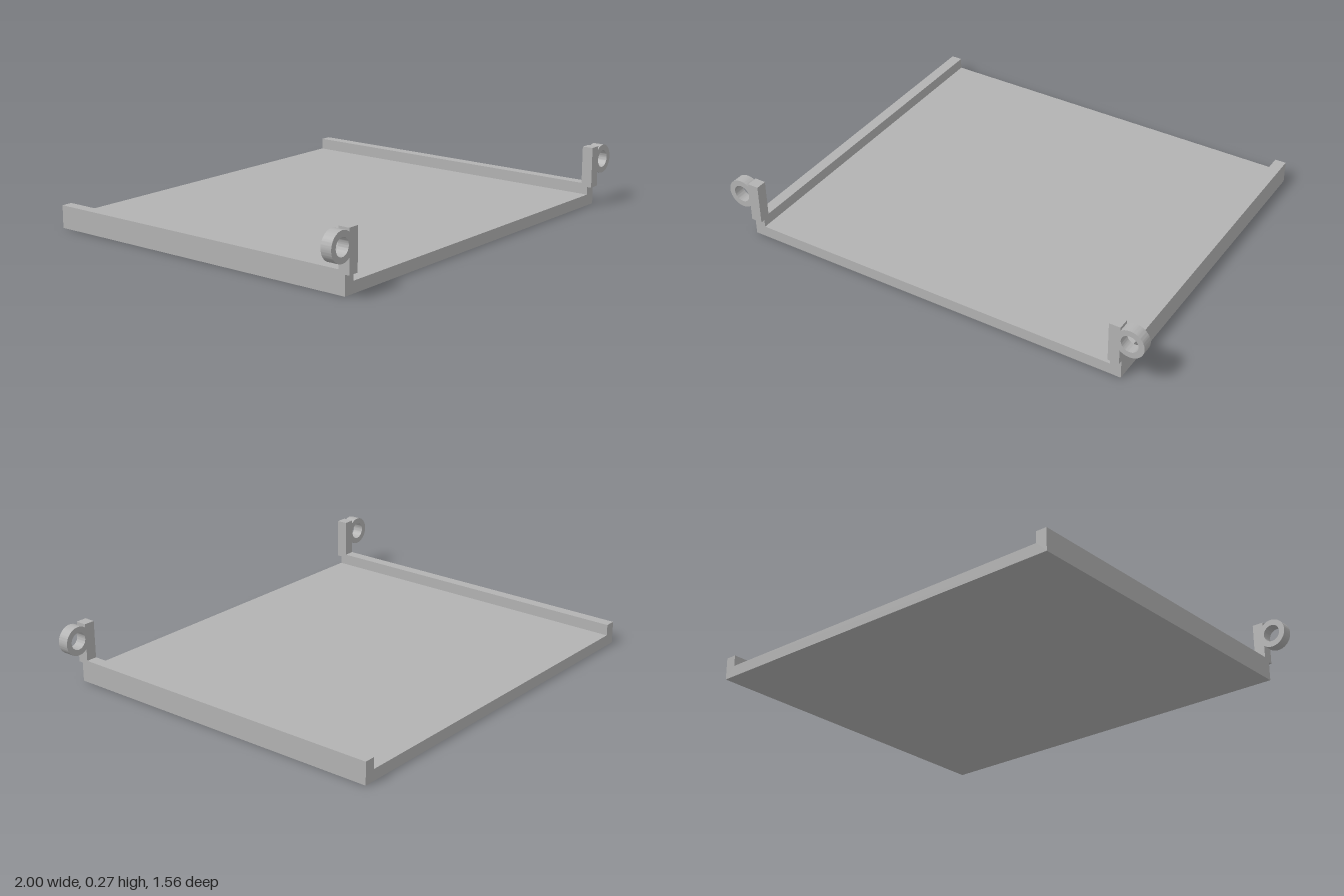
import * as THREE from 'three';
import { toCreasedNormals } from 'three/addons/utils/BufferGeometryUtils.js';

export function createModel() {
  const model = new THREE.Group();
  model.name = 'hingedTray';
  const grey = new THREE.MeshStandardMaterial({ color: 0xb2b2b2 });
  grey.name = 'grey';

  const outer = 0.895, inner = 0.845; // outside and inside faces of the side rails

  // Tray: flat floor with a low rail along each side, open at both ends
  const profile = new THREE.Shape([
    [-outer, 0], [outer, 0], [outer, 0.1], [inner, 0.1],
    [inner, 0.05], [-inner, 0.05], [-inner, 0.1], [-outer, 0.1],
  ].map(([x, y]) => new THREE.Vector2(x, y)));
  const trayGeometry = new THREE.ExtrudeGeometry(profile, { depth: 1.54, bevelEnabled: false });
  const tray = new THREE.Mesh(trayGeometry, grey);
  tray.name = 'tray';
  tray.position.z = -0.78;
  model.add(tray);

  // Lug: upright post carrying a ring on its outer side
  const ringX = 0.936, ringY = 0.203, ringR = 0.064, boreR = 0.038;
  const meet = Math.acos((outer - ringX) / ringR); // angle where ring meets post
  const lugShape = new THREE.Shape();
  lugShape.moveTo(inner, 0.085);
  lugShape.lineTo(outer, 0.085);
  lugShape.absarc(ringX, ringY, ringR, -meet, meet, false);
  lugShape.lineTo(outer, 0.267);
  lugShape.lineTo(inner, 0.267);
  lugShape.closePath();
  const bore = new THREE.Path();
  bore.absarc(ringX, ringY, boreR, 0, Math.PI * 2, true);
  lugShape.holes.push(bore);

  const depth = 0.05;
  const lugGeometry = toCreasedNormals(
    new THREE.ExtrudeGeometry(lugShape, { depth, bevelEnabled: false, curveSegments: 32 })
      .translate(0, 0, -depth / 2), 0.5);

  // One lug at each front corner, the right one turned about
  for (const [name, turn] of [['leftLug', 0], ['rightLug', Math.PI]]) {
    const lug = new THREE.Mesh(lugGeometry, grey);
    lug.name = name;
    lug.rotation.y = turn;
    lug.position.z = 0.755;
    model.add(lug);
  }
  return model;
}
